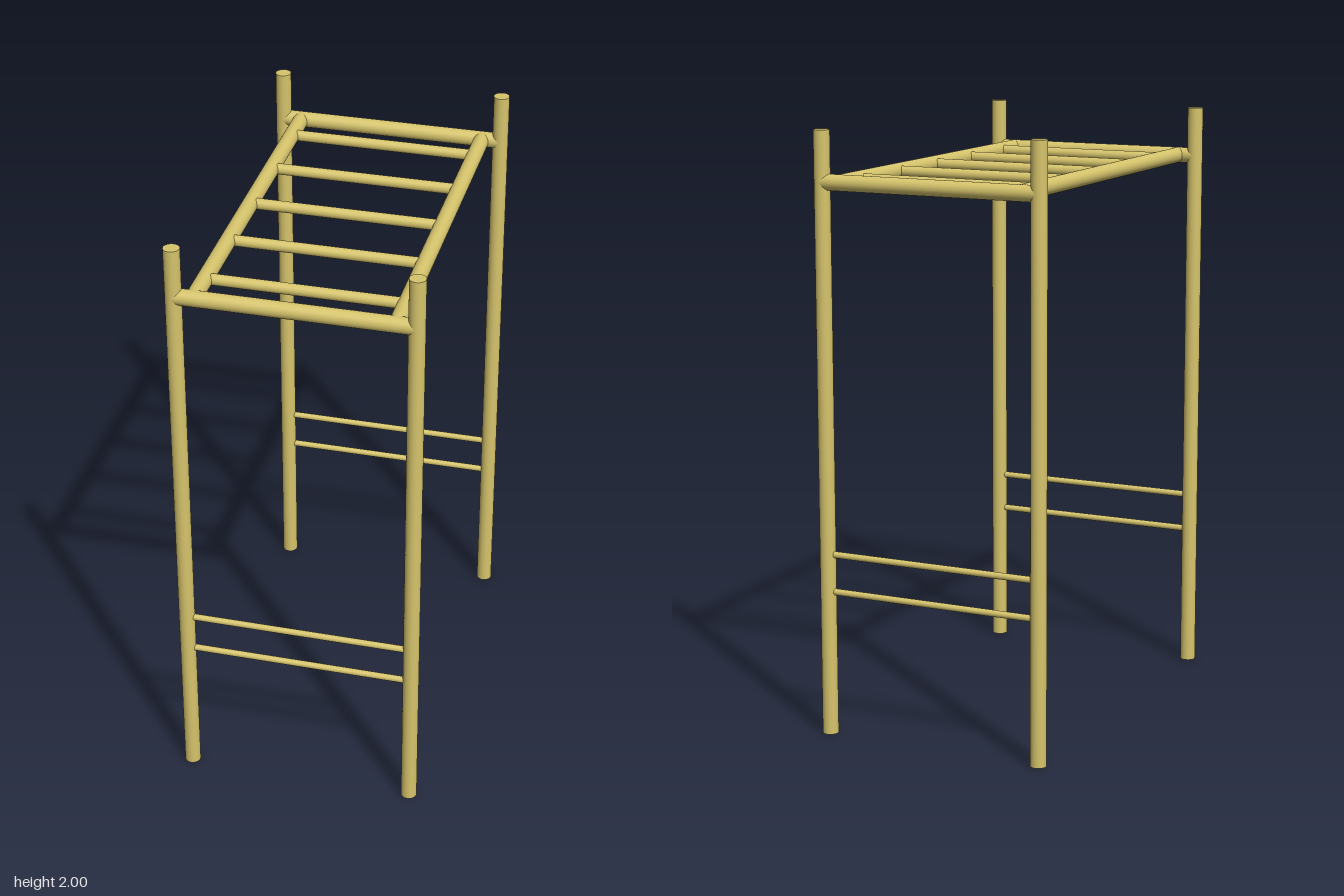
import * as THREE from 'three';

const POST_X = 0.381, POST_Z = 0.64, RAIL_X = 0.318;
const TOP_Y = 1.833, PIPE_R = 0.0265, RUNG_R = 0.0185, STEP_R = 0.011;

export function createModel() {
  const model = new THREE.Group();
  model.name = 'climbingFrame';
  const material = new THREE.MeshStandardMaterial({ color: 0xd6c46c });

  // Round bar centred at (x, y, z), running along the given axis
  function bar(name, axis, length, radius, x, y, z) {
    const geometry = new THREE.CylinderGeometry(radius, radius, length, 32);
    if (axis === 'x') geometry.rotateZ(Math.PI / 2);
    if (axis === 'z') geometry.rotateX(Math.PI / 2);
    const mesh = new THREE.Mesh(geometry, material);
    mesh.name = name;
    mesh.position.set(x, y, z);
    model.add(mesh);
  }

  for (const sz of [1, -1]) {
    const end = sz > 0 ? 'front' : 'back';
    const z = sz * POST_Z;
    // Upright posts
    for (const sx of [1, -1]) {
      bar(end + (sx > 0 ? 'Left' : 'Right') + 'Post', 'y', 2, PIPE_R, sx * POST_X, 1, z);
    }
    // Top crossbar and the two thin climbing steps
    bar(end + 'Crossbar', 'x', 2 * POST_X, PIPE_R, 0, TOP_Y, z);
    bar(end + 'UpperStep', 'x', 2 * POST_X, STEP_R, 0, 0.612, z);
    bar(end + 'LowerStep', 'x', 2 * POST_X, STEP_R, 0, 0.486, z);
  }

  // Long side rails
  bar('leftRail', 'z', 2 * POST_Z, PIPE_R, RAIL_X, TOP_Y, 0);
  bar('rightRail', 'z', 2 * POST_Z, PIPE_R, -RAIL_X, TOP_Y, 0);

  // Overhead rungs, evenly spaced
  for (let i = -2; i <= 2; i++) {
    bar('rung' + (i + 3), 'x', 2 * RAIL_X, RUNG_R, 0, TOP_Y, i * 0.256);
  }
  return model;
}
